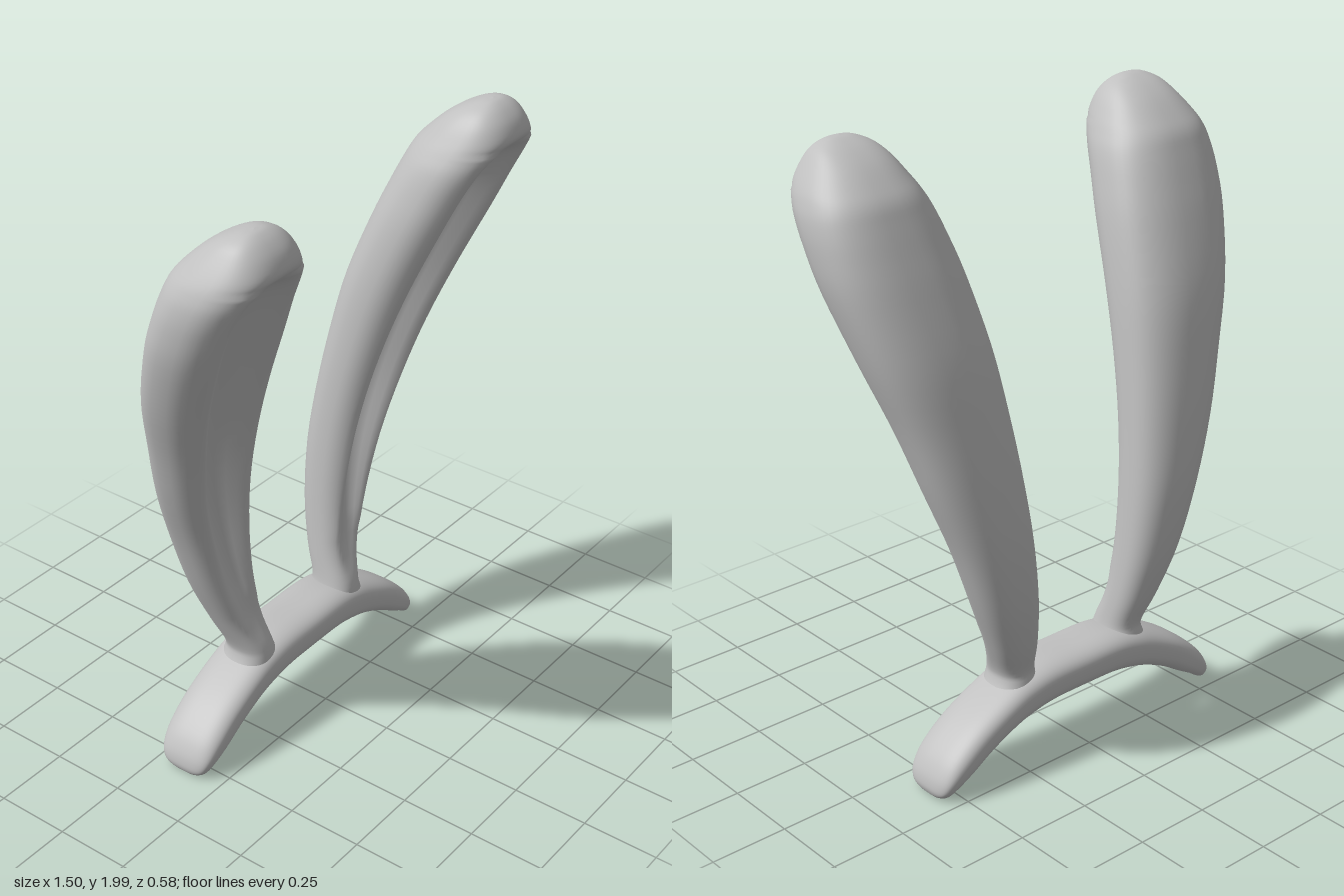
import * as THREE from 'three';

const SIDES = 48;

// Skin a list of closed rings (arrays of Vector3) into one smooth surface.
function loft(rings) {
  const pos = [], index = [];
  rings.forEach(r => r.forEach(p => pos.push(p.x, p.y, p.z)));
  for (let i = 0; i < rings.length - 1; i++) {
    for (let j = 0; j < SIDES; j++) {
      const k = (j + 1) % SIDES;
      const a = i * SIDES + j, b = i * SIDES + k;
      const c = a + SIDES, d = b + SIDES;
      index.push(a, c, b, b, c, d);
    }
  }
  const g = new THREE.BufferGeometry();
  g.setAttribute('position', new THREE.Float32BufferAttribute(pos, 3));
  g.setIndex(index);
  g.computeVertexNormals();
  return g;
}

// Rounded-square cross-section: returns [u, v] in -1..1 for each side.
function section(power) {
  const f = v => Math.sign(v) * Math.pow(Math.abs(v), 2 / power);
  return Array.from({ length: SIDES }, (_, j) => {
    const t = (j / SIDES) * Math.PI * 2;
    return [f(Math.cos(t)), f(Math.sin(t))];
  });
}

// Smoothly resample rows of six numbers.
function resample(rows, steps) {
  const a = new THREE.CatmullRomCurve3(rows.map(r => new THREE.Vector3(r[0], r[1], r[2])), false, 'catmullrom');
  const b = new THREE.CatmullRomCurve3(rows.map(r => new THREE.Vector3(r[3], r[4], r[5])), false, 'catmullrom');
  const n = (rows.length - 1) * steps;
  return Array.from({ length: n + 1 }, (_, i) => [...a.getPoint(i / n).toArray(), ...b.getPoint(i / n).toArray()]);
}

// Ear levels: height, inner x, outer x, front z, back z, groove depth
const EAR = [
  [0.25, 0.13, 0.32, -0.045, -0.23, 0],
  [0.30, 0.155, 0.295, -0.05, -0.215, 0],
  [0.34, 0.166, 0.295, -0.06, -0.212, 0],
  [0.44, 0.178, 0.335, -0.09, -0.245, 0.015],
  [0.60, 0.195, 0.40, -0.10, -0.278, 0.05],
  [0.80, 0.215, 0.47, -0.085, -0.289, 0.085],
  [1.00, 0.235, 0.545, -0.05, -0.274, 0.11],
  [1.20, 0.255, 0.61, 0.005, -0.245, 0.125],
  [1.40, 0.276, 0.68, 0.077, -0.205, 0.135],
  [1.60, 0.305, 0.735, 0.162, -0.138, 0.14],
  [1.72, 0.332, 0.75, 0.215, -0.09, 0.135],
  [1.80, 0.355, 0.748, 0.255, -0.055, 0.11],
  [1.85, 0.378, 0.735, 0.28, -0.03, 0.05],
  [1.89, 0.40, 0.715, 0.293, 0.005, 0.005],
  [1.94, 0.432, 0.68, 0.278, 0.06, 0],
  [1.975, 0.468, 0.648, 0.25, 0.115, 0],
  [1.995, 0.515, 0.605, 0.22, 0.165, 0],
  [2.0, 0.56, 0.56, 0.195, 0.195, 0],
];

function earGeometry(side) {
  const shape = section(2.4);
  const rings = resample(EAR, 4).map(([y, xi, xo, zf, zb, depth]) => {
    const cx = side * (xi + xo) / 2, hw = (xo - xi) / 2;
    const cz = (zf + zb) / 2, hd = (zf - zb) / 2;
    return shape.map(([u, v]) => {
      // hollow scooped out of the front face, with a slightly raised rim
      const groove = v > 0 ? Math.max(0, depth) * (1 - THREE.MathUtils.smoothstep(Math.abs(u), 0.05, 0.72)) : 0;
      const rim = v > 0 && depth > 0.03 ? 1.06 : 1;
      return new THREE.Vector3(cx + hw * u, Math.min(y, 2), cz + hd * v * rim - groove);
    });
  });
  return loft(rings);
}

// Half of the headband: top x, top y, bottom x, bottom y, half depth
const BAND = [
  [0, 0.325, 0, 0.192, 0.107, 0],
  [0.13, 0.325, 0.12, 0.19, 0.107, 0],
  [0.22, 0.312, 0.20, 0.178, 0.107, 0],
  [0.30, 0.284, 0.28, 0.156, 0.107, 0],
  [0.43, 0.215, 0.37, 0.116, 0.107, 0],
  [0.52, 0.143, 0.45, 0.068, 0.105, 0],
  [0.562, 0.085, 0.505, 0.037, 0.096, 0],
  [0.575, 0.042, 0.535, 0.016, 0.078, 0],
  [0.571, 0.018, 0.552, 0.006, 0.045, 0],
  [0.562, 0.008, 0.562, 0.008, 0, 0],
];

function bandGeometry() {
  const mirrored = BAND.slice(1).reverse().map(r => [-r[0], r[1], -r[2], r[3], r[4], 0]);
  const shape = section(2.8);
  const rings = resample([...mirrored, ...BAND], 4).map(([tx, ty, bx, by, w]) =>
    shape.map(([u, v]) => new THREE.Vector3(
      (tx + bx) / 2 + u * (tx - bx) / 2,
      (ty + by) / 2 + u * (ty - by) / 2,
      -0.138 - v * w,
    )));
  return loft(rings);
}

export function createModel() {
  const group = new THREE.Group();
  group.name = 'earHeadband';
  const grey = new THREE.MeshStandardMaterial({ color: 0xc0c0c0 });
  grey.name = 'light grey';

  const add = (name, geometry) => {
    const mesh = new THREE.Mesh(geometry, grey);
    mesh.name = name;
    group.add(mesh);
  };
  add('headband', bandGeometry());
  add('leftEar', earGeometry(1));
  add('rightEar', earGeometry(-1));
  return group;
}
